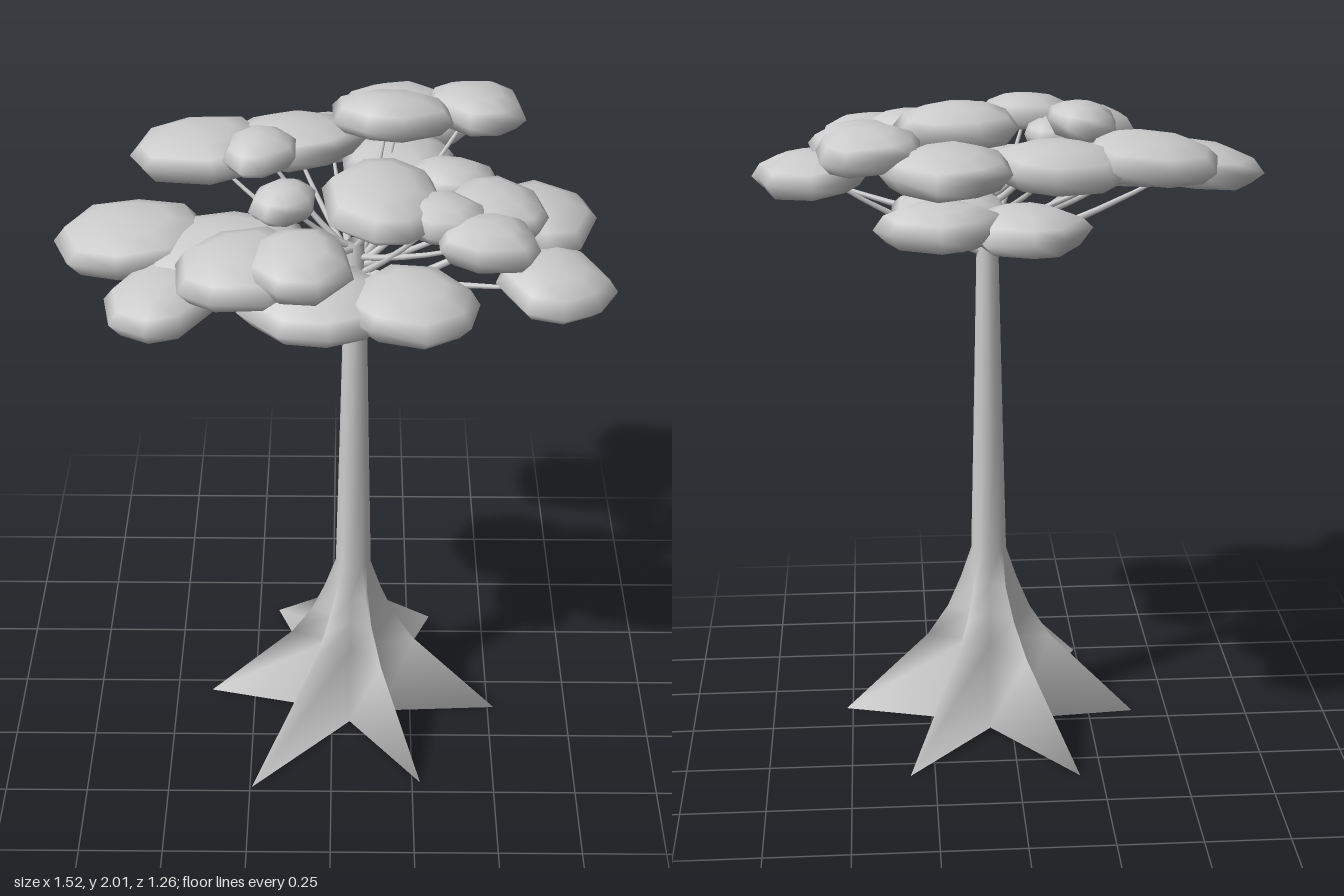
import * as THREE from 'three';
import { mergeVertices } from 'three/addons/utils/BufferGeometryUtils.js';

const CX = 0.065, CZ = 0.075; // trunk axis

// Repeatable noise in -1..1
const noise = (a, b) => {
  const s = Math.sin(a * 127.1 + b * 311.7) * 43758.5453;
  return (s - Math.floor(s)) * 2 - 1;
};

// Trunk lofted from star rings: six thin buttress fins merge into a round stem
function trunkGeometry() {
  const tips = [[0.455, 0.045], [0.21, 0.385], [-0.31, 0.41], [-0.455, -0.03], [-0.25, -0.43], [0.26, -0.4]];
  // height, fin reach (share of tip length), valley radius, plain radius
  const rings = [
    [0, 1, 0.115, 0], [0.27, 0.42, 0.075, 0], [0.37, 0.28, 0.062, 0], [0.47, 0.19, 0.054, 0],
    [0.57, 0, 0.05, 0.054], [1.0, 0, 0.044, 0.044], [1.5, 0, 0.033, 0.033], [1.7, 0, 0.024, 0.024],
  ];
  const pos = [], idx = [], n = 12;
  for (const [y, reach, valley, plain] of rings) {
    tips.forEach(([x, z], i) => {
      const [nx, nz] = tips[(i + 1) % 6];
      const len = Math.hypot(x, z), r = plain || len * reach;
      pos.push(CX + x / len * r, y, CZ + z / len * r);
      const mx = x / len + nx / Math.hypot(nx, nz), mz = z / len + nz / Math.hypot(nx, nz);
      const m = Math.hypot(mx, mz);
      pos.push(CX + mx / m * valley, y, CZ + mz / m * valley);
    });
  }
  for (let r = 0; r < rings.length - 1; r++) {
    for (let i = 0; i < n; i++) {
      const a = r * n + i, b = r * n + (i + 1) % n;
      idx.push(a, a + n, b, b, a + n, b + n);
    }
  }
  const g = new THREE.BufferGeometry();
  g.setAttribute('position', new THREE.Float32BufferAttribute(pos, 3));
  g.setIndex(idx);
  g.computeVertexNormals();
  return g;
}

// Bent branch that thins toward its end
function branchGeometry(from, to, r0, r1) {
  const mid = from.clone().lerp(to, 0.5);
  mid.y -= 0.03;
  const curve = new THREE.QuadraticBezierCurve3(from, mid, to);
  const rows = 5, sides = 6;
  const g = new THREE.TubeGeometry(curve, rows, 1, sides, false);
  const p = g.attributes.position, v = new THREE.Vector3();
  for (let i = 0; i < p.count; i++) {
    const t = Math.floor(i / (sides + 1)) / rows, c = curve.getPointAt(t);
    v.fromBufferAttribute(p, i).sub(c).multiplyScalar(r0 + (r1 - r0) * t).add(c);
    p.setXYZ(i, v.x, v.y, v.z);
  }
  return g;
}

// Flat leafy cushion: domed top, irregular rim, broad flat underside
function cushionGeometry(rx, rz, seed, tilt) {
  const sides = 8;
  const h = 0.6 + 0.4 * Math.min(1, rx / 0.18);
  const profile = [[0, -0.048], [0.8, -0.046], [1, -0.004], [0.84, 0.032], [0.5, 0.056], [0, 0.066]];
  const g = new THREE.LatheGeometry(profile.map(([x, y]) => new THREE.Vector2(x, y * h)), sides);
  const p = g.attributes.position, turn = seed * 0.7;
  for (let i = 0; i < p.count; i++) {
    const k = Math.floor(i / profile.length) % sides, row = i % profile.length;
    const r = Math.hypot(p.getX(i), p.getZ(i)) * (1.04 + 0.09 * noise(k, seed));
    const a = turn + (k + 0.22 * noise(seed, k + 9)) / sides * Math.PI * 2;
    const x = r * Math.cos(a) * rx, z = -r * Math.sin(a) * rz;
    const lift = row === 2 ? 0.012 * noise(k + 3, seed + 5) : 0;
    p.setXYZ(i, x, p.getY(i) + lift + x * tilt[0] + z * tilt[1], z);
  }
  g.deleteAttribute('uv');
  g.deleteAttribute('normal');
  const merged = mergeVertices(g);
  merged.computeVertexNormals();
  return merged;
}

export function createModel() {
  const root = new THREE.Group();
  const mat = new THREE.MeshStandardMaterial({ color: 0xcccccc, side: THREE.DoubleSide });
  const add = (geo, name, parent = root) => {
    const m = new THREE.Mesh(geo, mat);
    m.name = name;
    parent.add(m);
    return m;
  };
  add(trunkGeometry(), 'buttressTrunk');

  // x, y, z, radius x, radius z
  const cushions = [
    [-0.55, 1.755, 0.15, 0.2, 0.18], [-0.3, 1.75, 0.22, 0.23, 0.19], [-0.44, 1.71, 0.4, 0.16, 0.17],
    [-0.24, 1.82, 0.43, 0.18, 0.17], [-0.08, 1.855, 0.46, 0.14, 0.16], [0.22, 1.71, 0.42, 0.18, 0.15],
    [-0.04, 1.70, 0.4, 0.2, 0.17], [0.6, 1.715, 0.32, 0.15, 0.16], [0.57, 1.765, 0.05, 0.16, 0.18],
    [0.45, 1.835, 0.14, 0.14, 0.16], [0.42, 1.83, 0.3, 0.14, 0.12], [0.14, 1.88, 0.16, 0.17, 0.19],
    [0.3, 1.86, 0.23, 0.12, 0.1], [0.33, 1.84, -0.02, 0.13, 0.1], [-0.2, 1.925, -0.03, 0.1, 0.12],
    [-0.13, 1.85, 0.12, 0.09, 0.09], [-0.38, 1.85, -0.18, 0.2, 0.19], [-0.12, 1.845, -0.25, 0.2, 0.15],
    [-0.01, 1.73, -0.5, 0.16, 0.13], [0.22, 1.75, -0.52, 0.16, 0.11], [0.2, 1.87, -0.4, 0.17, 0.16],
    [0.41, 1.915, -0.32, 0.15, 0.15], [0.16, 1.95, -0.2, 0.17, 0.12], [0.2, 1.73, -0.34, 0.17, 0.19],
  ];
  const foliage = new THREE.Group(), branches = new THREE.Group();
  foliage.name = 'foliage';
  branches.name = 'branches';
  root.add(foliage, branches);

  cushions.forEach(([x, y, z, rx, rz], i) => {
    const dx = x - CX, dz = z - CZ, d = Math.hypot(dx, dz);
    const tilt = [-0.08 * dx / d, -0.08 * dz / d]; // rims dip outward
    add(cushionGeometry(rx, rz, i + 1, tilt), 'leafCushion', foliage).position.set(x, y, z);
    // low, far cushions hang on the lower, thicker limbs
    const low = y < 1.79 && d > 0.3;
    const from = new THREE.Vector3(CX, (low ? 1.515 : 1.59) + 0.03 * (i % 4), CZ);
    const to = new THREE.Vector3(x - dx * 0.12, y - 0.03, z - dz * 0.12);
    add(branchGeometry(from, to, low ? 0.016 : 0.011, 0.005), 'branch', branches);
  });
  return root;
}
